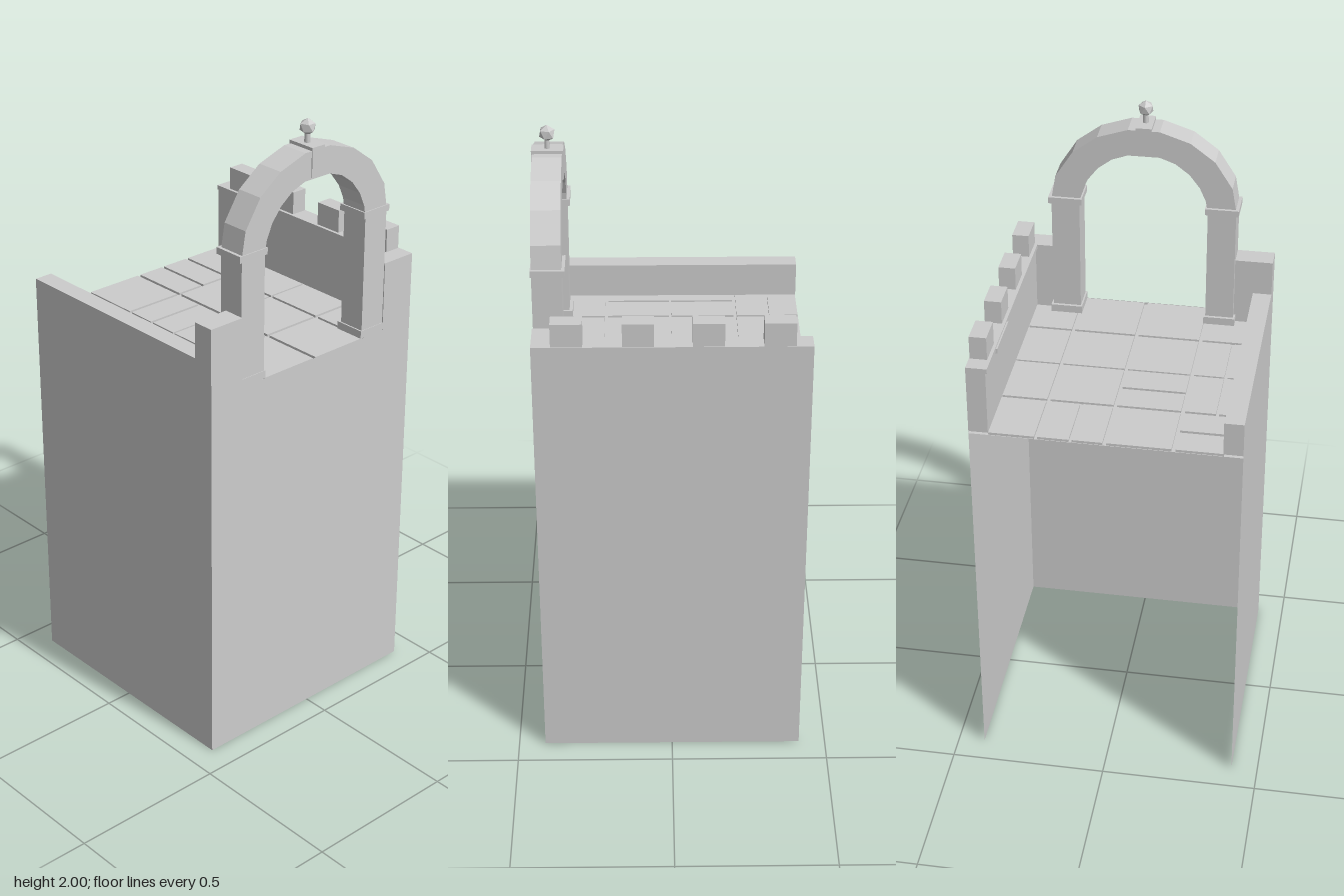
import * as THREE from 'three';

export function createModel() {
  const model = new THREE.Group();
  model.name = 'tower';
  const stone = new THREE.MeshStandardMaterial({ color: 0xcccccc, side: THREE.DoubleSide });
  stone.name = 'stone';

  const W = 0.415;      // half width
  const DECK = 1.25;    // walking level

  function add(name, geometry, parent = model) {
    const mesh = new THREE.Mesh(geometry, stone);
    mesh.name = name;
    parent.add(mesh);
    return mesh;
  }
  // Box given by its limits on each axis
  function box(name, x0, x1, y0, y1, z0, z1, parent) {
    const g = new THREE.BoxGeometry(x1 - x0, y1 - y0, z1 - z0);
    g.translate((x0 + x1) / 2, (y0 + y1) / 2, (z0 + z1) / 2);
    return add(name, g, parent);
  }

  // Sheer walls: three thin sheets, open on the -x side and below
  for (const [name, angle] of [['frontWall', 0], ['sideWall', Math.PI / 2], ['backWall', Math.PI]]) {
    const g = new THREE.PlaneGeometry(2 * W, DECK);
    g.translate(0, DECK / 2, W);
    g.rotateY(angle);
    add(name, g);
  }

  // Floor bed with raised paving slabs; the gaps read as joints
  const bed = new THREE.PlaneGeometry(2 * W, 2 * W);
  bed.rotateX(-Math.PI / 2);
  bed.translate(0, DECK - 0.008, 0);
  add('floorBed', bed);

  const paving = new THREE.Group();
  paving.name = 'paving';
  model.add(paving);
  const cols = [[-0.413, -0.216], [-0.206, -0.005], [0.002, 0.2], [0.21, 0.413]];
  const rows = [[-0.355, -0.215], [-0.205, -0.008], [0.003, 0.2], [0.212, 0.357]];
  // Slabs that are split in two: key is column,row
  const splits = {
    '0,1': ['z', -0.11, -0.1], '1,2': ['x', -0.112, -0.102], '0,3': ['x', -0.322, -0.311],
    '1,3': ['z', 0.307, 0.317], '2,3': ['z', 0.307, 0.317],
  };
  const slab = (x, z) => box('slab', x[0], x[1], DECK - 0.008, DECK, z[0], z[1], paving);
  cols.forEach((x, i) => rows.forEach((z, j) => {
    const s = splits[`${i},${j}`];
    if (!s) return slab(x, z);
    const [axis, a, b] = s;
    if (axis === 'x') {
      slab([x[0], a], z);
      slab([b, x[1]], z);
    } else {
      slab(x, [z[0], a]);
      slab(x, [b, z[1]]);
    }
  }));

  // Parapets
  box('frontParapet', -W, 0.345, DECK, 1.36, 0.355, W);
  box('backParapet', -W, 0.345, DECK, 1.46, -W, -0.355);
  box('backCoping', -W, 0.345, 1.46, 1.475, -W, -0.35);
  box('copingChip', -0.29, -0.13, 1.453, 1.47, -0.36, -0.345);
  box('cornerParapetFront', 0.345, W, DECK, 1.475, 0.295, W);
  box('cornerParapetBack', 0.345, W, DECK, 1.475, -W, -0.295);

  // Merlons along the back
  for (const x of [-0.316, -0.107, 0.1, 0.31]) {
    box('merlon', x - 0.047, x + 0.047, 1.475, 1.55, -0.413, -0.36);
  }

  // Gateway: piers and arch in one outline, half profile mirrored
  const gate = new THREE.Group();
  gate.name = 'gateway';
  model.add(gate);
  const outer = [[0.295, DECK], [0.295, 1.66], [0.281, 1.74], [0.225, 1.827], [0.147, 1.885], [0.05, 1.917]];
  const inner = [[0.05, 1.83], [0.1, 1.812], [0.145, 1.778], [0.178, 1.735], [0.198, 1.69], [0.205, 1.65], [0.205, DECK]];
  const mirror = (pts) => pts.map(([z, y]) => [-z, y]).reverse();
  const outline = [...outer, ...mirror(outer), ...mirror(inner), ...inner.slice()];
  const shape = new THREE.Shape(outline.map(([z, y]) => new THREE.Vector2(z, y)));
  const arch = new THREE.ExtrudeGeometry(shape, { depth: 0.089, bevelEnabled: false });
  arch.rotateY(Math.PI / 2);
  arch.translate(0.323, 0, 0);
  add('arch', arch, gate);

  // Imposts and plinths on both piers
  for (const s of [-1, 1]) {
    const z0 = s > 0 ? 0.197 : -0.304;
    const z1 = s > 0 ? 0.304 : -0.197;
    box('impost', 0.313, 0.415, 1.647, 1.668, z0, z1, gate);
    box('plinth', 0.313, 0.414, DECK, 1.275, z0 + 0.003, z1 - 0.003, gate);
  }

  // Keystone and finial
  box('keystone', 0.319, 0.415, 1.835, 1.927, -0.025, 0.025, gate);
  const neck = new THREE.CylinderGeometry(0.008, 0.01, 0.035, 6);
  neck.translate(0.367, 1.94, 0);
  add('finialNeck', neck, gate);
  const ball = new THREE.IcosahedronGeometry(0.026, 0);
  ball.rotateZ(Math.atan(2 / (1 + Math.sqrt(5))));   // one corner straight up
  ball.translate(0.367, 1.974, 0);
  add('finialBall', ball, gate);

  return model;
}
